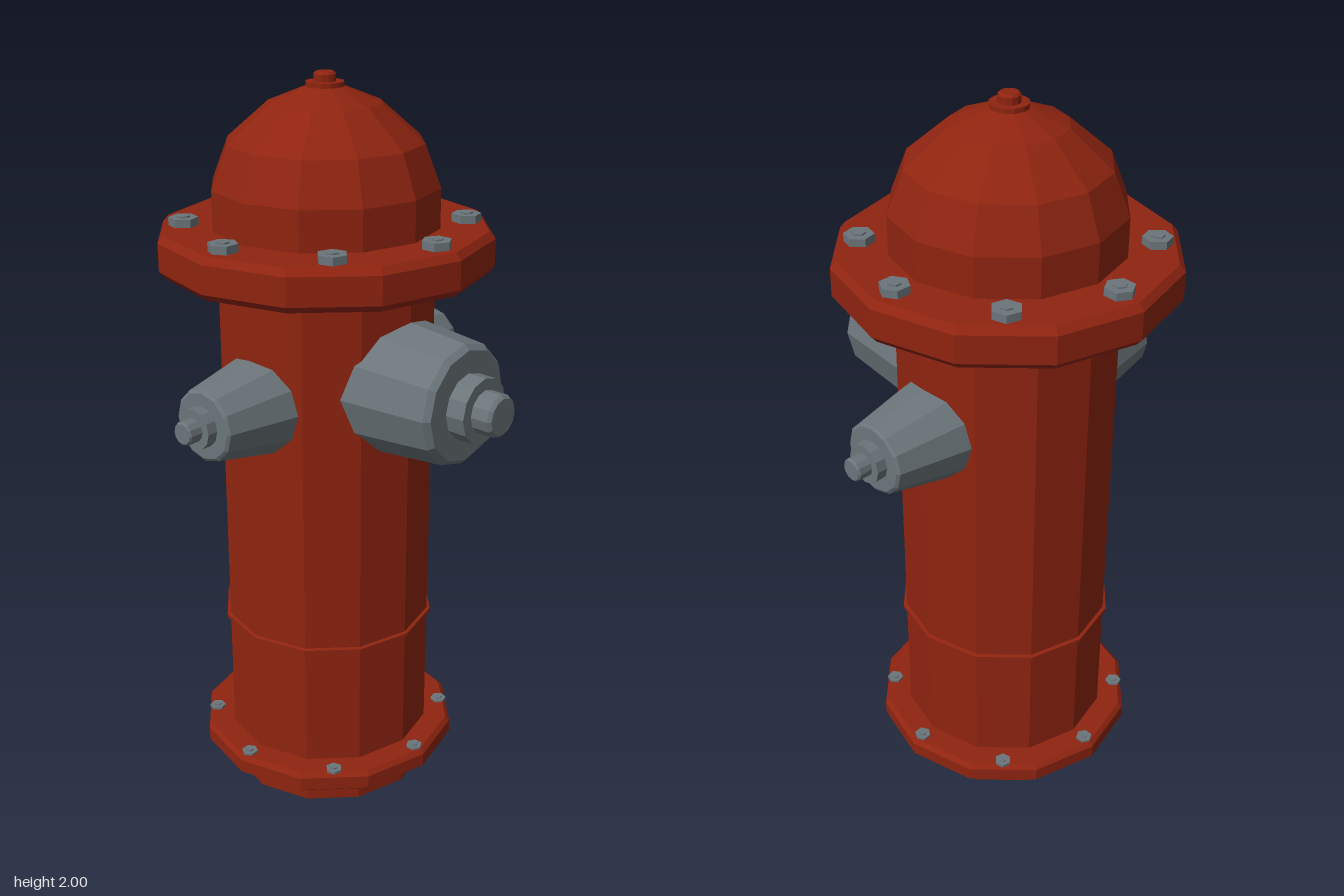
import * as THREE from 'three';

const SIDES = 12;

// Faceted normals, so every polygon reads as a flat face
function faceted(geometry) {
  const g = geometry.toNonIndexed();
  g.computeVertexNormals();
  return g;
}

// Solid of revolution from [radius, height] pairs, listed from bottom to top
function turned(profile) {
  return faceted(new THREE.LatheGeometry(profile.map(([r, y]) => new THREE.Vector2(r, y)), SIDES));
}

export function createModel() {
  const red = new THREE.MeshStandardMaterial({ color: 0x8f2410 });
  red.name = 'red paint';
  const grey = new THREE.MeshStandardMaterial({ color: 0x6b757a });
  grey.name = 'grey metal';

  const hydrant = new THREE.Group();
  hydrant.name = 'hydrant';
  hydrant.position.z = -0.072;

  function add(name, geometry, material, parent = hydrant) {
    const mesh = new THREE.Mesh(geometry, material);
    mesh.name = name;
    parent.add(mesh);
    return mesh;
  }

  // Barrel, foot flange, seam and top flange
  add('barrel', turned([[0, 0], [0.287, 0], [0.29, 0.1], [0.29, 1.55], [0, 1.55]]), red);
  add('footFlange', turned([
    [0.27, 0.08], [0.355, 0.08], [0.367, 0.09], [0.367, 0.128], [0.355, 0.14], [0.27, 0.14],
  ]), red);
  add('barrelSeam', turned([[0.28, 0.488], [0.3, 0.492], [0.3, 0.502], [0.28, 0.506]]), red);
  add('topFlange', turned([
    [0.27, 1.505], [0.427, 1.505], [0.443, 1.523], [0.443, 1.597], [0.427, 1.615], [0.2, 1.615],
  ]), red);

  // Bonnet with its operating nut
  add('dome', turned([
    [0.3, 1.6], [0.3, 1.72], [0.257, 1.83], [0.147, 1.925], [0.04, 1.968], [0, 1.968],
  ]), red);
  add('domeNut', turned([
    [0.05, 1.955], [0.05, 1.976], [0.029, 1.976], [0.029, 1.994], [0.023, 2], [0, 2],
  ]), red);

  // Hexagonal bolts around both flanges
  function boltRing(name, count, ringRadius, y, r, h) {
    const ring = new THREE.Group();
    ring.name = name;
    hydrant.add(ring);
    const head = faceted(new THREE.CylinderGeometry(r, r, h, 6).translate(0, h / 2, 0));
    const stud = faceted(new THREE.CylinderGeometry(r * 0.45, r * 0.45, 0.004, 6).translate(0, h + 0.002, 0));
    for (let i = 0; i < count; i++) {
      const a = (i / count) * Math.PI * 2;
      const bolt = new THREE.Group();
      bolt.name = 'bolt';
      bolt.position.set(Math.sin(a) * ringRadius, y, Math.cos(a) * ringRadius);
      bolt.rotation.y = a;
      add('boltHead', head, grey, bolt);
      add('boltStud', stud, grey, bolt);
      ring.add(bolt);
    }
  }
  boltRing('topBolts', 8, 0.367, 1.612, 0.039, 0.024);
  boltRing('footBolts', 8, 0.332, 0.138, 0.023, 0.008);

  // Large front outlet, measured outward from the barrel axis
  const frontOutlet = add('frontOutlet', turned([
    [0, 0.1], [0.187, 0.1], [0.181, 0.25], [0.161, 0.462], [0.147, 0.477],
    [0.087, 0.477], [0.087, 0.53], [0.056, 0.53], [0.056, 0.578], [0.048, 0.587], [0, 0.587],
  ]), grey);
  frontOutlet.position.y = 1.23;
  frontOutlet.rotation.x = Math.PI / 2;

  // Mirrored side outlets
  const sideProfile = turned([
    [0, 0.15], [0.138, 0.15], [0.138, 0.24], [0.096, 0.452], [0.088, 0.458],
    [0.053, 0.458], [0.053, 0.487], [0.031, 0.487], [0.031, 0.522], [0.027, 0.527], [0, 0.527],
  ]);
  for (const side of [1, -1]) {
    const outlet = add(side > 0 ? 'leftOutlet' : 'rightOutlet', sideProfile, grey);
    outlet.position.y = 1.185;
    outlet.rotation.z = -side * Math.PI / 2;
  }

  const model = new THREE.Group();
  model.name = 'fireHydrant';
  model.add(hydrant);
  return model;
}
